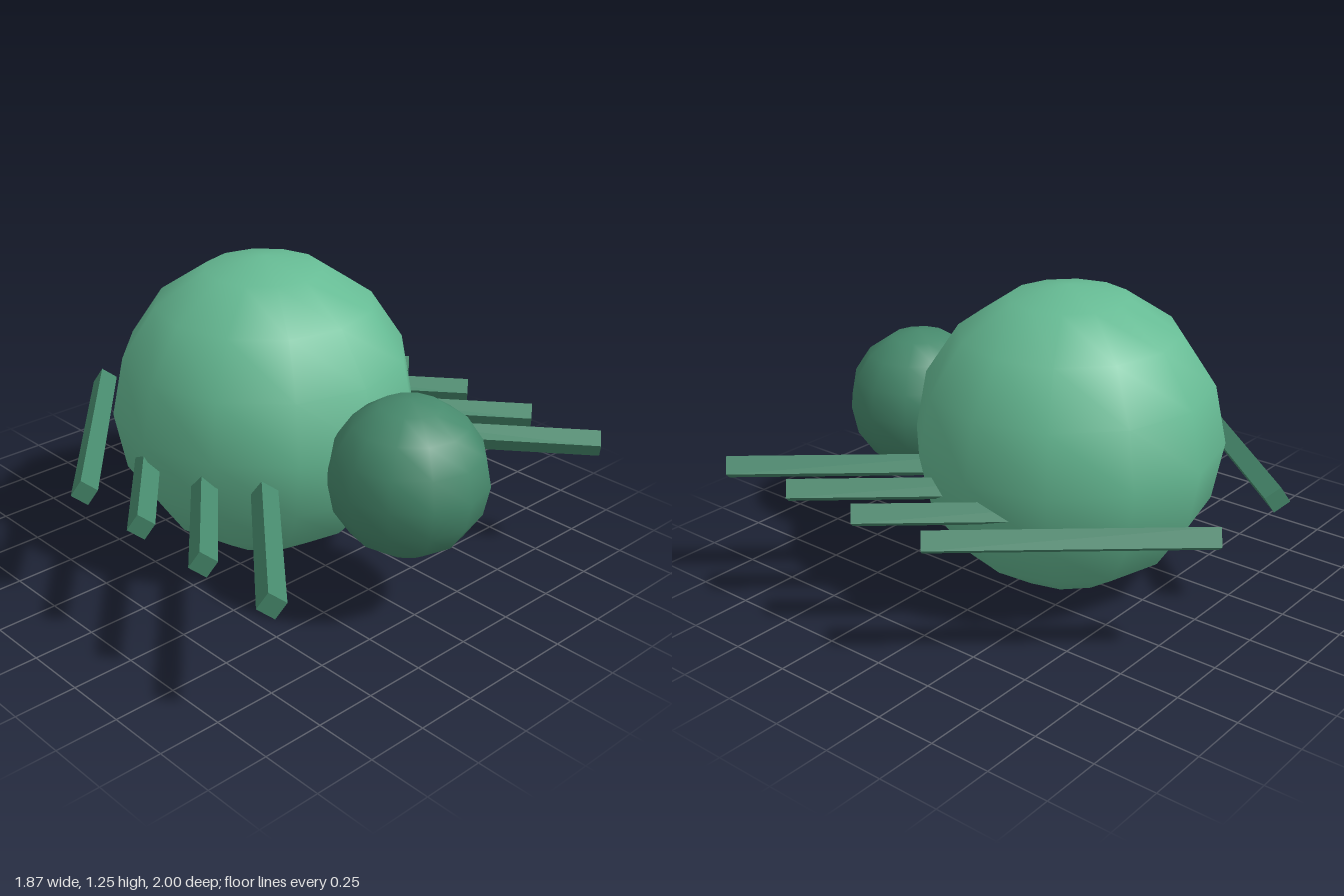
import * as THREE from 'three';

export function createModel() {
  const model = new THREE.Group();
  model.name = 'spider';

  const bodyGreen = new THREE.MeshStandardMaterial({ color: 0x66bb94 });
  bodyGreen.name = 'bodyGreen';
  const darkGreen = new THREE.MeshStandardMaterial({ color: 0x478a6d });
  darkGreen.name = 'darkGreen';

  // Round parts: coarse spheres with smooth normals
  const ball = (name, radius, y, z, material) => {
    const mesh = new THREE.Mesh(new THREE.SphereGeometry(radius, 12, 8), material);
    mesh.name = name;
    mesh.position.set(0, y, z);
    model.add(mesh);
  };
  ball('abdomen', 0.626, 0.631, -0.12, bodyGreen);
  ball('head', 0.313, 0.592, 0.687, darkGreen);

  // Four pairs of straight square legs, slanted backwards and rolled on edge
  const legGeometry = new THREE.BoxGeometry(0.075, 0.075, 1.077);
  const yaw = THREE.MathUtils.degToRad(40);
  const roll = THREE.MathUtils.degToRad(33);
  for (const side of [-1, 1]) {
    for (let i = 0; i < 4; i++) {
      const leg = new THREE.Mesh(legGeometry, darkGreen);
      leg.name = `${side > 0 ? 'left' : 'right'}Leg${i + 1}`;
      leg.position.set(side * 0.55, 0.513, 0.504 - i * 0.353);
      leg.rotation.set(0, side * yaw, side * roll, 'YXZ');
      model.add(leg);
    }
  }
  return model;
}
